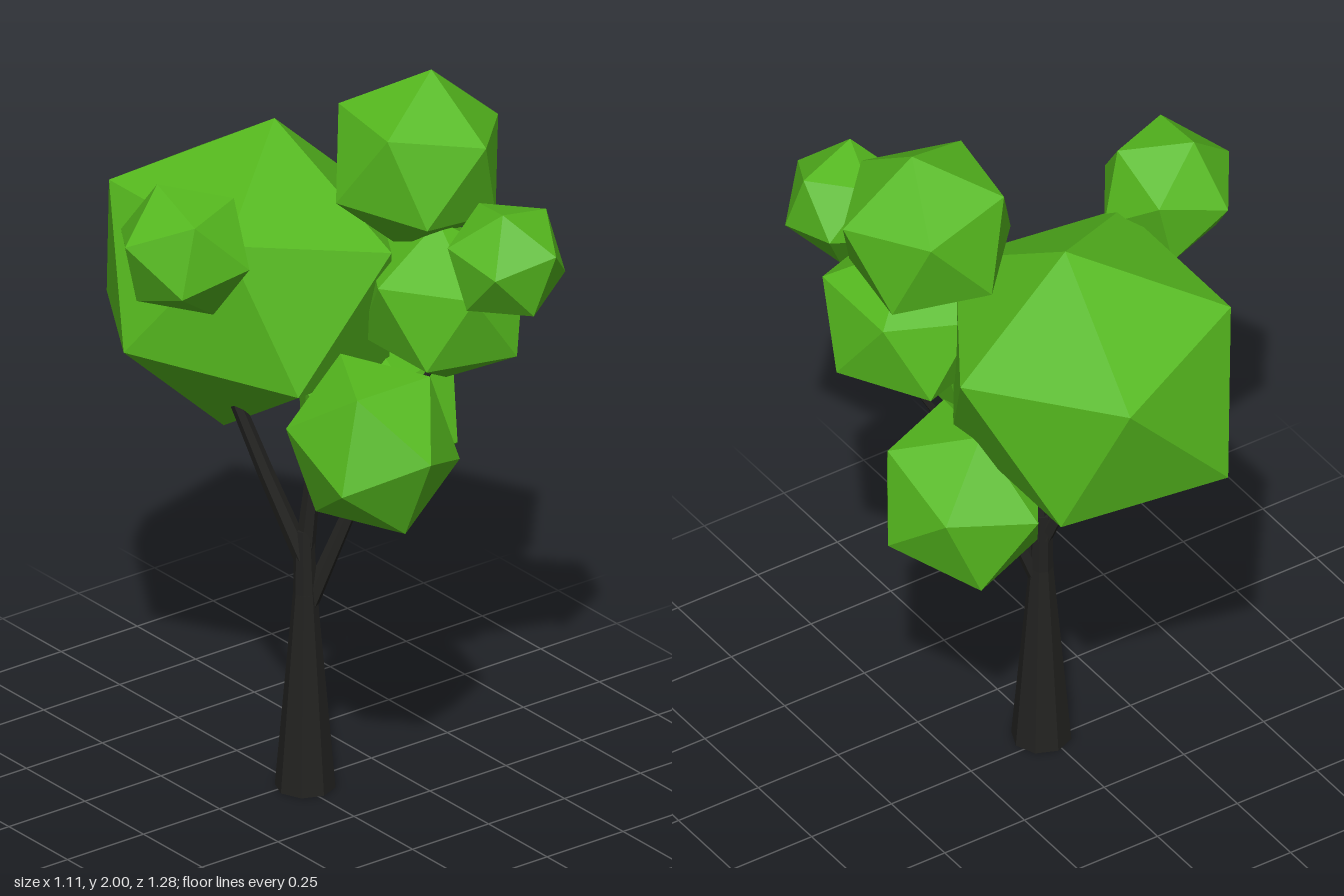
import * as THREE from 'three';

const V = (a) => new THREE.Vector3(...a);
const T = (1 + Math.sqrt(5)) / 2;

// orthonormal frame from two directions
function frame(a, b) {
  const u = a.clone().normalize();
  const n = u.clone().cross(b).normalize();
  return new THREE.Matrix4().makeBasis(u, n.clone().cross(u), n);
}

// rotation that turns two neighbouring icosahedron corners towards a and b
function aimCorners(a, b) {
  const from = frame(V([0, 1, T]), V([0, -1, T]));
  return new THREE.Euler().setFromRotationMatrix(frame(V(a), V(b)).multiply(from.transpose()));
}

export function createModel() {
  const tree = new THREE.Group();
  tree.name = 'tree';
  const bark = new THREE.MeshStandardMaterial({ color: 0x222220, flatShading: true });
  const leaf = new THREE.MeshStandardMaterial({ color: 0x55b81e, flatShading: true });

  // tapered limb between two points
  function limb(name, from, to, r0, r1, sides) {
    const a = V(from), d = V(to).sub(a);
    const mesh = new THREE.Mesh(new THREE.CylinderGeometry(r1, r0, d.length(), sides), bark);
    mesh.position.copy(a).addScaledVector(d, 0.5);
    mesh.quaternion.setFromUnitVectors(V([0, 1, 0]), d.normalize());
    mesh.name = name;
    tree.add(mesh);
  }

  // trunk and its three branches
  limb('trunk', [0.013, 0, 0.025], [0.013, 0.56, 0.025], 0.08, 0.032, 8);
  limb('trunkTop', [0.013, 0.56, 0.025], [0.013, 0.74, 0.02], 0.032, 0.026, 8);
  const branches = [
    ['rightBranch', [0.018, 0.52, 0.03], [0.14, 0.88, 0.11], [0.33, 1.22, 0.19], 0.026, 0.017, 0.007],
    ['backBranch', [0.01, 0.66, 0.02], [-0.06, 0.9, -0.05], [-0.12, 1.12, -0.11], 0.026, 0.022, 0.018],
    ['middleBranch', [0.014, 0.66, 0.02], [0.03, 0.92, 0.04], [0.035, 1.17, 0.06], 0.027, 0.02, 0.014],
  ];
  for (const [name, a, b, c, r0, r1, r2] of branches) {
    limb(name + 'Lower', a, b, r0, r1, 6);
    limb(name + 'Upper', b, c, r1, r2, 6);
  }

  // foliage: name, centre, radii, rotation
  const turn = (x, z) => new THREE.Euler(x, 0, z);
  const foliage = [
    ['largeFoliage', [0.025, 1.385, -0.23], [0.428, 0.428, 0.481], turn(0, -0.75)],
    ['middleFoliage', [0.317, 1.39, 0.215], [0.23, 0.23, 0.27], turn(0, 0.61)],
    ['lowerFoliage', [0.317, 0.98, -0.06], [0.236, 0.236, 0.27], turn(-0.275, 0.61)],
    ['frontFoliage', [-0.015, 1.12, 0.35], [0.228, 0.25, 0.25], turn(0.43, 0)],
    ['topFoliage', [0.317, 1.755, 0.108], [0.252, 0.252, 0.252],
      aimCorners([0.041, 0.245, 0.007], [0.238, 0.07, 0.037])],
    ['sideFoliage', [-0.368, 1.655, 0.007], [0.195, 0.185, 0.195],
      aimCorners([-0.035, 0.165, -0.062], [-0.19, 0.025, -0.007])],
    ['smallFoliage', [0.322, 1.604, 0.483], [0.169, 0.169, 0.169],
      aimCorners([-0.044, 0.156, 0.042], [0.043, 0.056, 0.154])],
  ];
  const ball = new THREE.IcosahedronGeometry(1, 0);
  for (const [name, centre, radii, rotation] of foliage) {
    const mesh = new THREE.Mesh(ball, leaf);
    mesh.name = name;
    mesh.position.set(...centre);
    mesh.scale.set(...radii);
    mesh.rotation.copy(rotation);
    tree.add(mesh);
  }
  return tree;
}
